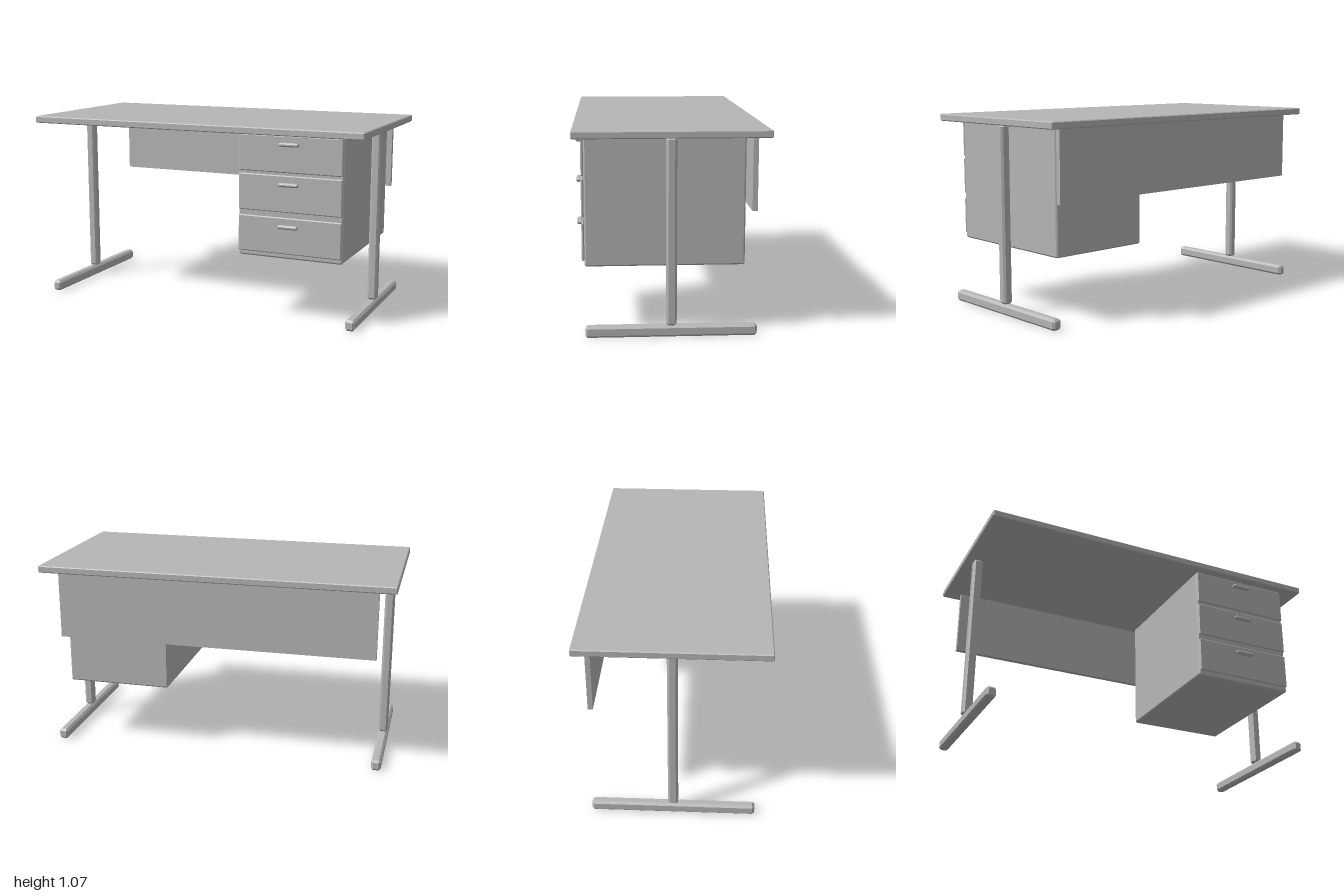
import * as THREE from 'three';
import { ConvexGeometry } from 'three/addons/geometries/ConvexGeometry.js';

// Box given by its min and max corners, with every edge chamfered by c
function chamferBox(min, max, c) {
  const half = min.map((v, i) => (max[i] - v) / 2);
  const points = [];
  for (const sx of [-1, 1]) for (const sy of [-1, 1]) for (const sz of [-1, 1]) {
    const signs = [sx, sy, sz];
    // three points per corner: full reach on one axis, drawn in on the others
    for (let axis = 0; axis < 3; axis++) {
      const p = signs.map((s, i) => s * (half[i] - (i === axis ? 0 : c)));
      points.push(new THREE.Vector3(...p));
    }
  }
  const geometry = new ConvexGeometry(points);
  geometry.translate(...min.map((v, i) => (v + max[i]) / 2));
  return geometry;
}

export function createModel() {
  const desk = new THREE.Group();
  desk.name = 'desk';
  const grey = new THREE.MeshStandardMaterial({ color: 0xb6b6b6 });
  grey.name = 'grey';

  const add = (parent, name, geometry) => {
    const mesh = new THREE.Mesh(geometry, grey);
    mesh.name = name;
    parent.add(mesh);
  };

  add(desk, 'tableTop', chamferBox([-1, 1.033, -0.5], [1, 1.072, 0.5], 0.005));

  // Plain panel hanging under the rear of the top
  const panel = new THREE.BoxGeometry(1.808, 0.387, 0.027);
  panel.translate(0, 0.8405, -0.429);
  add(desk, 'modestyPanel', panel);

  // T-shaped supports at both ends
  for (const [side, x] of [['left', 0.93], ['right', -0.93]]) {
    const support = new THREE.Group();
    support.name = side + 'Support';
    add(support, side + 'Leg', chamferBox([x - 0.027, 0.06, -0.027], [x + 0.027, 1.033, 0.027], 0.011));
    add(support, side + 'Foot', chamferBox([x - 0.027, 0, -0.443], [x + 0.027, 0.06, 0.443], 0.012));
    desk.add(support);
  }

  // Drawer pedestal
  const pedestal = new THREE.Group();
  pedestal.name = 'pedestal';
  desk.add(pedestal);
  add(pedestal, 'pedestalBody', chamferBox([0.286, 0.36, -0.384], [0.882, 1.032, 0.443], 0.008));

  // Drawer fronts: bottom, top and handle heights
  const drawers = [[0.832, 1.03, 0.985], [0.617, 0.817, 0.77], [0.388, 0.588, 0.541]];
  drawers.forEach(([bottom, top, y], i) => {
    const drawer = new THREE.Group();
    drawer.name = 'drawer' + (i + 1);
    add(drawer, 'drawerFront', chamferBox([0.29, bottom, 0.443], [0.878, top, 0.457], 0.005));
    add(drawer, 'drawerHandle', chamferBox([0.527, y - 0.01, 0.457], [0.641, y + 0.01, 0.487], 0.007));
    pedestal.add(drawer);
  });

  return desk;
}
